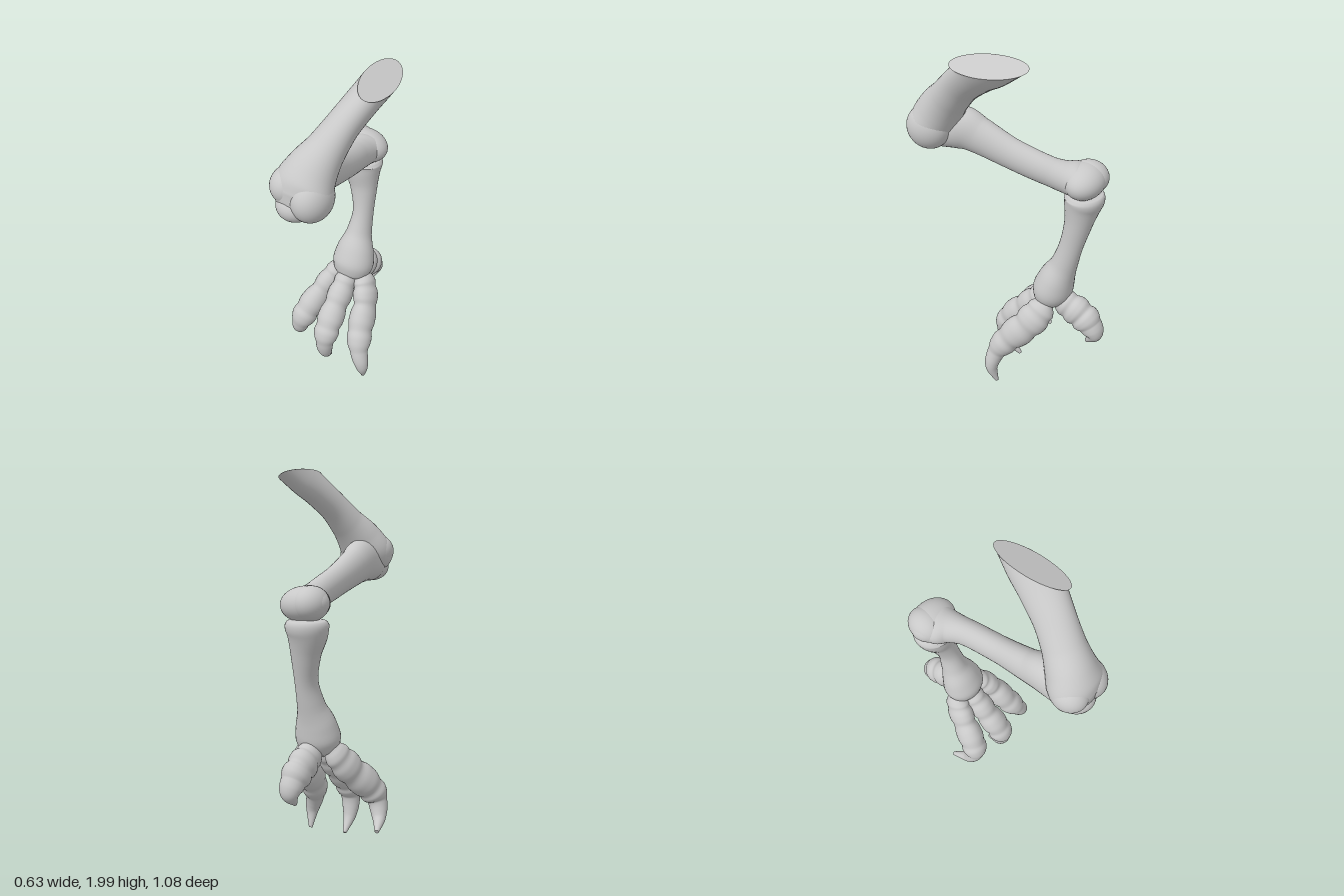
import * as THREE from 'three';

const bone = new THREE.MeshStandardMaterial({ color: 0xc8c8c8 });
bone.name = 'bone grey';

// Sweeps an ellipse through stations [x, y, z, sideRadius, depthRadius, skew].
// options: knuckles (crease count), creaseEnd (where creases stop), adjust (edits each point)
function loft(name, stations, { rings = 48, sides = 32, knuckles = 0, creaseEnd = 0.7, adjust } = {}) {
  const path = new THREE.CatmullRomCurve3(stations.map(s => new THREE.Vector3(s[0], s[1], s[2])));
  const radii = new THREE.CatmullRomCurve3(stations.map(s => new THREE.Vector3(s[3], s[4], s[5] ?? 0)));
  const pos = [], index = [];
  const p = new THREE.Vector3();
  for (let i = 0; i <= rings; i++) {
    const t = i / rings;
    const c = path.getPoint(t), r = radii.getPoint(t), tangent = path.getTangent(t);
    const side = new THREE.Vector3(1, 0, 0).addScaledVector(tangent, -tangent.x).normalize();
    const up = new THREE.Vector3().crossVectors(tangent, side);
    let k = 1;
    if (knuckles && t < creaseEnd) k = 1.05 - 0.13 * Math.cos(Math.PI * knuckles * t / creaseEnd) ** 4;
    else if (knuckles) k = 0.92 + 0.08 * Math.min(1, (t - creaseEnd) * 10);
    for (let j = 0; j < sides; j++) {
      const a = j / sides * Math.PI * 2;
      p.copy(c).addScaledVector(side, (Math.cos(a) * r.x + Math.sin(a) * r.z) * k);
      p.addScaledVector(up, Math.sin(a) * r.y * k);
      if (adjust) adjust(p);
      pos.push(p.x, p.y, p.z);
    }
  }
  for (let i = 0; i < rings; i++) {
    for (let j = 0; j < sides; j++) {
      const a = i * sides + j, b = i * sides + (j + 1) % sides;
      index.push(a, b, a + sides, b, b + sides, a + sides);
    }
  }
  // flat end caps with their own vertices
  for (const end of [0, rings]) {
    const start = pos.length / 3, ring = pos.slice(end * sides * 3, (end + 1) * sides * 3);
    const mid = [0, 1, 2].map(k => ring.reduce((sum, v, n) => n % 3 === k ? sum + v : sum, 0) / sides);
    pos.push(...ring, ...mid);
    for (let j = 0; j < sides; j++) {
      const a = start + j, b = start + (j + 1) % sides;
      index.push(start + sides, ...(end ? [a, b] : [b, a]));
    }
  }
  const geo = new THREE.BufferGeometry();
  geo.setAttribute('position', new THREE.Float32BufferAttribute(pos, 3));
  geo.setIndex(index);
  geo.computeVertexNormals();
  const mesh = new THREE.Mesh(geo, bone);
  mesh.name = name;
  return mesh;
}

function knob(name, x, y, z, rx, ry, rz, tilt = 0) {
  const mesh = new THREE.Mesh(new THREE.SphereGeometry(1, 40, 28), bone);
  mesh.name = name;
  mesh.position.set(x, y, z);
  mesh.scale.set(rx, ry, rz);
  mesh.rotation.z = tilt;
  return mesh;
}

export function createModel() {
  const model = new THREE.Group();
  model.name = 'clawedLeg';

  // Thigh bone, sliced at the top by a slanted plane
  const axis = new THREE.Vector3(0.075, 0.16, -0.2);
  const normal = new THREE.Vector3(0.42, 1, 0);
  const cutPoint = new THREE.Vector3(0.228, 1.96, 0);
  const slice = p => {
    const over = p.clone().sub(cutPoint).dot(normal);
    if (over > 0) p.addScaledVector(axis, -over / axis.dot(normal));
  };
  model.add(loft('thighBone', [
    [0.065, 1.45, 0.485, 0.03, 0.02],
    [0.065, 1.472, 0.47, 0.105, 0.065],
    [0.065, 1.512, 0.44, 0.146, 0.1],
    [0.068, 1.56, 0.405, 0.15, 0.12],
    [0.085, 1.63, 0.355, 0.126, 0.116],
    [0.115, 1.71, 0.285, 0.1, 0.1, -0.01],
    [0.15, 1.8, 0.2, 0.088, 0.094, -0.02],
    [0.19, 1.885, 0.097, 0.088, 0.1, -0.03],
    [0.228, 1.96, 0, 0.09, 0.115, -0.04],
    [0.323, 2.163, -0.254, 0.09, 0.119, -0.045],
  ], { rings: 72, sides: 40, adjust: slice }));
  model.add(knob('kneeKnobRight', 0, 1.555, 0.425, 0.089, 0.092, 0.098));
  model.add(knob('kneeKnobLeft', 0.122, 1.52, 0.42, 0.1, 0.118, 0.12));

  // Shin bone, flaring into the ankle joint
  model.add(knob('shinHead', 0.045, 1.468, 0.437, 0.096, 0.08, 0.1));
  model.add(loft('shinBone', [
    [0.043, 1.47, 0.45, 0.08, 0.07],
    [0.043, 1.477, 0.4, 0.098, 0.09],
    [0.025, 1.505, 0.28, 0.09, 0.118],
    [0.014, 1.475, 0.18, 0.077, 0.102],
    [0.006, 1.414, 0, 0.066, 0.084],
    [-0.012, 1.36, -0.2, 0.067, 0.078],
    [-0.032, 1.34, -0.28, 0.083, 0.081],
    [-0.053, 1.33, -0.34, 0.112, 0.086],
    [-0.06, 1.325, -0.4, 0.1, 0.07],
  ]));
  model.add(knob('ankleJoint', -0.06, 1.33, -0.382, 0.131, 0.089, 0.104, -0.1));
  model.add(knob('ankleKnobRight', -0.1, 1.335, -0.388, 0.087, 0.087, 0.102));

  // Long foot bone, flared at both ends
  model.add(loft('footBone', [
    [-0.07, 1.258, -0.38, 0.05, 0.045],
    [-0.07, 1.25, -0.38, 0.1, 0.09],
    [-0.07, 1.225, -0.38, 0.113, 0.104],
    [-0.067, 1.18, -0.373, 0.105, 0.096],
    [-0.05, 1.08, -0.362, 0.078, 0.074],
    [-0.032, 0.93, -0.332, 0.058, 0.064],
    [-0.035, 0.8, -0.295, 0.073, 0.074],
    [-0.036, 0.71, -0.26, 0.107, 0.097],
    [-0.036, 0.63, -0.236, 0.122, 0.109],
    [-0.04, 0.565, -0.218, 0.104, 0.088],
    [-0.042, 0.53, -0.21, 0.05, 0.04],
  ]));

  // Toes ending in hooked claws
  const toes = {
    middleToe: [
      [-0.042, 0.575, -0.195, 0.045, 0.045],
      [-0.042, 0.51, -0.14, 0.067, 0.073],
      [-0.045, 0.42, -0.06, 0.07, 0.075],
      [-0.045, 0.32, 0.03, 0.075, 0.072],
      [-0.045, 0.23, 0.07, 0.06, 0.056],
      [-0.053, 0.12, 0.05, 0.038, 0.036],
      [-0.062, 0.035, -0.02, 0.01, 0.01],
    ],
    rightToe: [
      [-0.11, 0.58, -0.23, 0.045, 0.045],
      [-0.14, 0.515, -0.19, 0.063, 0.08],
      [-0.175, 0.43, -0.12, 0.066, 0.083],
      [-0.218, 0.33, -0.02, 0.074, 0.08],
      [-0.243, 0.25, 0.02, 0.06, 0.057],
      [-0.273, 0.165, -0.01, 0.038, 0.036],
      [-0.312, 0.12, -0.1, 0.011, 0.011],
    ],
    leftToe: [
      [0.03, 0.565, -0.23, 0.045, 0.045],
      [0.065, 0.505, -0.2, 0.064, 0.084],
      [0.1, 0.42, -0.145, 0.067, 0.086],
      [0.125, 0.31, -0.05, 0.073, 0.08],
      [0.155, 0.21, 0.015, 0.058, 0.058],
      [0.188, 0.11, 0.035, 0.038, 0.036],
      [0.182, 0.006, 0.005, 0.01, 0.01],
    ],
    backToe: [
      [-0.035, 0.565, -0.27, 0.05, 0.05],
      [-0.037, 0.535, -0.338, 0.07, 0.084],
      [-0.04, 0.498, -0.405, 0.073, 0.086],
      [-0.04, 0.45, -0.462, 0.07, 0.075],
      [-0.04, 0.393, -0.495, 0.052, 0.046],
      [-0.04, 0.325, -0.45, 0.01, 0.01],
    ],
  };
  for (const [name, stations] of Object.entries(toes)) {
    const back = name === 'backToe';
    model.add(loft(name, stations, { rings: 72, sides: 28, knuckles: back ? 3 : 4, creaseEnd: back ? 0.62 : 0.68 }));
  }
  return model;
}
